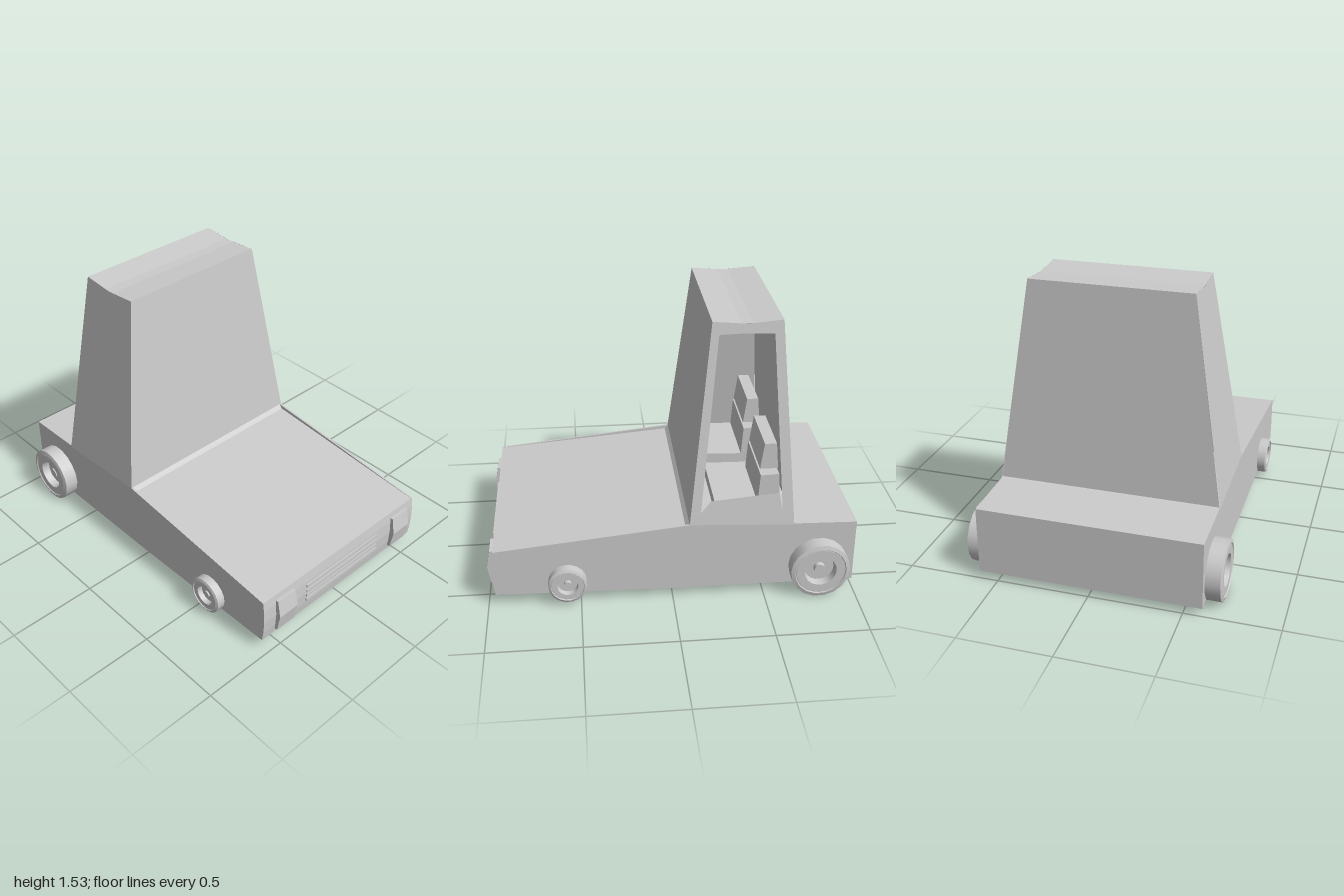
import * as THREE from 'three';

const grey = new THREE.MeshStandardMaterial({ color: 0xcccccc, flatShading: true });
const thin = new THREE.MeshStandardMaterial({ color: 0xcccccc, flatShading: true, side: THREE.DoubleSide });
const smooth = new THREE.MeshStandardMaterial({ color: 0xcccccc, side: THREE.DoubleSide });

const toShape = pts => new THREE.Shape(pts.map(([a, b]) => new THREE.Vector2(a, b)));

function add(parent, name, geometry, material = grey) {
  const mesh = new THREE.Mesh(geometry, material);
  mesh.name = name;
  parent.add(mesh);
  return mesh;
}

// Side profile of [z, y] points, stretched from x0 to x1
function sideExtrude(pts, x0, x1) {
  const g = new THREE.ExtrudeGeometry(toShape(pts), { depth: x1 - x0, bevelEnabled: false });
  return g.rotateY(-Math.PI / 2).translate(x1, 0, 0);
}

// Strip of quads between x = -half and x = +half along [half, y, z] points
function strip(pts) {
  const pos = [], idx = [];
  pts.forEach(([h, y, z], i) => {
    pos.push(-h, y, z, h, y, z);
    if (i) {
      const a = 2 * i - 2;
      idx.push(a, a + 1, a + 3, a, a + 3, a + 2);
    }
  });
  const g = new THREE.BufferGeometry();
  g.setAttribute('position', new THREE.Float32BufferAttribute(pos, 3));
  g.setIndex(idx);
  g.computeVertexNormals();
  return g;
}

// Cabin side wall, leaning inwards with height
function cabinSide(sign, hole) {
  const shape = toShape([[-0.09, 0.45], [-0.21, 1.535], [-0.39, 1.52], [-0.575, 1.535], [-0.655, 0.425]]);
  if (hole) shape.holes.push(new THREE.Path(hole.map(([a, b]) => new THREE.Vector2(a, b))));
  const g = new THREE.ShapeGeometry(shape);
  const p = g.attributes.position;
  for (let i = 0; i < p.count; i++) {
    const z = p.getX(i), y = p.getY(i);
    p.setXYZ(i, sign * (0.6 - 0.165 * (y - 0.45) / 1.085), y, z);
  }
  g.computeVertexNormals();
  return g;
}

// Wheel turned around the x axis: tyre, shallow ring groove, sunken rim and hub
function wheel(parent, name, side, r, y, z, inner, outer) {
  const w = outer - inner, d = r * 0.3;
  const runs = [
    [[0, 0], [r, 0]],
    [[r, 0], [r, w - 0.006]],
    [[r, w - 0.006], [r * 0.87, w]],
    [[r * 0.87, w], [r * 0.85, w - 0.008], [r * 0.82, w - 0.004]],
    [[r * 0.82, w - 0.004], [r * 0.54, w - 0.004]],
    [[r * 0.54, w - 0.004], [r * 0.5, w - d]],
    [[r * 0.5, w - d], [r * 0.19, w - d]],
    [[r * 0.19, w - d], [r * 0.17, w - d * 0.5]],
    [[r * 0.17, w - d * 0.5], [0, w - d * 0.5]],
  ];
  const group = new THREE.Group();
  group.name = name;
  for (const run of runs) {
    const g = new THREE.LatheGeometry(run.map(([a, b]) => new THREE.Vector2(a, b)), 18);
    add(group, 'wheelRing', g, smooth);
  }
  group.rotation.z = -side * Math.PI / 2;
  group.position.set(side * inner, y, z);
  parent.add(group);
}

export function createModel() {
  const model = new THREE.Group();
  model.name = 'car';

  // Wedge body with a bent nose
  add(model, 'body', sideExtrude([
    [-1, 0.05], [0, 0.05], [0.96, 0.07], [0.968, 0.13], [0.972, 0.205], [0.968, 0.28], [0.96, 0.34],
    [-0.07, 0.428], [-0.09, 0.45], [-0.64, 0.44], [-0.665, 0.428], [-1, 0.42],
  ], -0.6, 0.6));

  // Raised lips along both hood edges
  for (const s of [-1, 1]) {
    const x = s * 0.594;
    add(model, 'hoodEdge', sideExtrude([[0.96, 0.335], [0.96, 0.341], [-0.09, 0.45], [-0.09, 0.42]], x - 0.006, x + 0.006));
  }

  // Cabin shell: windscreen, dipped roof and rear wall
  add(model, 'cabinShell', strip([
    [0.6, 0.45, -0.09], [0.435, 1.535, -0.21], [0.436, 1.522, -0.36], [0.436, 1.522, -0.42],
    [0.435, 1.535, -0.575], [0.6, 0.425, -0.655],
  ]), thin);

  // Closed side and open doorway side
  add(model, 'cabinRightSide', cabinSide(-1), thin);
  add(model, 'cabinLeftSide', cabinSide(1, [
    [-0.15, 0.515], [-0.205, 0.58], [-0.57, 0.61], [-0.59, 0.505], [-0.53, 1.465], [-0.39, 1.471], [-0.245, 1.468],
  ]), thin);

  // Pair of seats
  for (const s of [-1, 1]) {
    const seat = new THREE.Group();
    seat.name = 'seat';
    seat.position.x = s * 0.28;
    add(seat, 'seatBack', sideExtrude([[-0.47, 0.44], [-0.485, 0.665], [-0.585, 0.67], [-0.6, 0.44]], -0.2, 0.2));
    add(seat, 'seatNeck', sideExtrude([[-0.51, 0.66], [-0.51, 0.7], [-0.565, 0.7], [-0.565, 0.66]], -0.12, 0.12));
    add(seat, 'headrest', sideExtrude([[-0.485, 0.69], [-0.505, 0.84], [-0.57, 0.84], [-0.583, 0.69]], -0.17, 0.17));
    add(seat, 'seatCushion', sideExtrude([[-0.24, 0.44], [-0.24, 0.51], [-0.48, 0.5], [-0.48, 0.44]], -0.2, 0.2));
    model.add(seat);
  }

  // Headlights with a bent front face
  for (const x of [-0.447, 0.47]) {
    add(model, 'headlight', sideExtrude(
      [[0.955, 0.1], [0.982, 0.1], [1, 0.205], [0.982, 0.306], [0.955, 0.306]], x - 0.065, x + 0.065));
  }

  // Grille bars
  for (const y of [0.255, 0.22, 0.187, 0.156]) {
    const bar = add(model, 'grilleBar', new THREE.BoxGeometry(0.57, 0.018, 0.02));
    bar.position.set(0, y, 0.967);
  }

  // Small front wheels, large rear wheels
  for (const s of [-1, 1]) {
    wheel(model, 'frontWheel', s, 0.105, 0.135, 0.57, 0.545, 0.652);
    wheel(model, 'rearWheel', s, 0.163, 0.165, -0.8, 0.517, 0.685);
  }
  return model;
}
